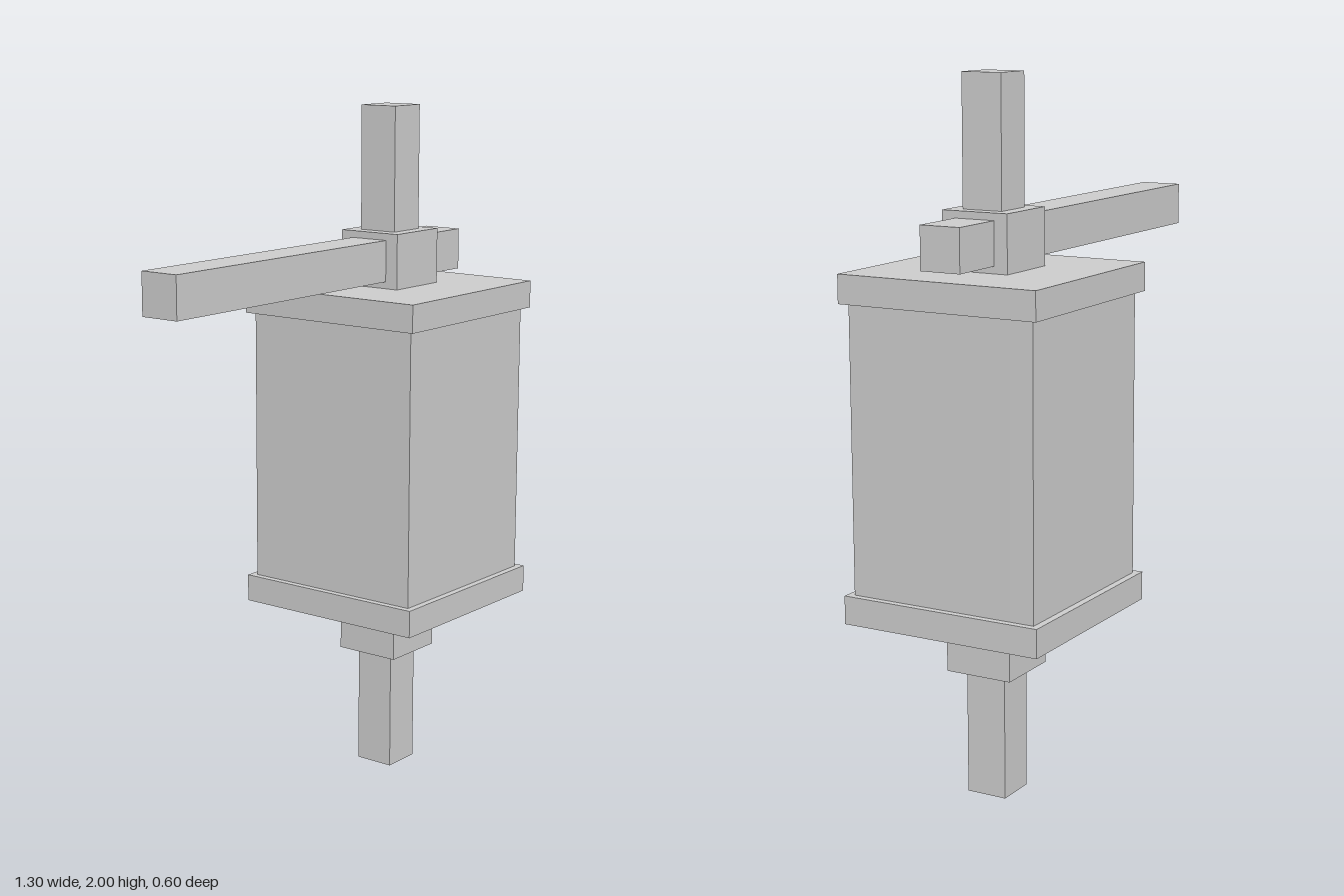
import * as THREE from 'three';

const AXIS_X = 0.35; // the post, collars, plates and body share this axis

export function createModel() {
  const model = new THREE.Group();
  model.name = 'hangingLantern';
  const material = new THREE.MeshStandardMaterial({ color: 0xcccccc, flatShading: true });

  // Box spanning x0..x1 and y0..y1, centred on z = 0
  function addBox(name, x0, x1, y0, y1, depth) {
    const mesh = new THREE.Mesh(new THREE.BoxGeometry(x1 - x0, y1 - y0, depth), material);
    mesh.name = name;
    mesh.position.set((x0 + x1) / 2, (y0 + y1) / 2, 0);
    model.add(mesh);
  }

  // Square block on the shared axis
  function addBlock(name, width, y0, y1) {
    addBox(name, AXIS_X - width / 2, AXIS_X + width / 2, y0, y1, width);
  }

  // Stack from the ground up
  addBlock('bottomPost', 0.12, 0, 0.36);
  addBlock('bottomCollar', 0.2, 0.36, 0.52);
  addBlock('bottomPlate', 0.6, 0.52, 0.6);
  addBlock('body', 0.56, 0.6, 1.4);
  addBlock('topPlate', 0.6, 1.4, 1.48);
  addBlock('topCollar', 0.2, 1.48, 1.64);
  addBlock('topPost', 0.12, 1.64, 2);

  // Horizontal arm passing through the top collar
  addBox('arm', -0.65, 0.62, 1.5, 1.62, 0.12);

  return model;
}
